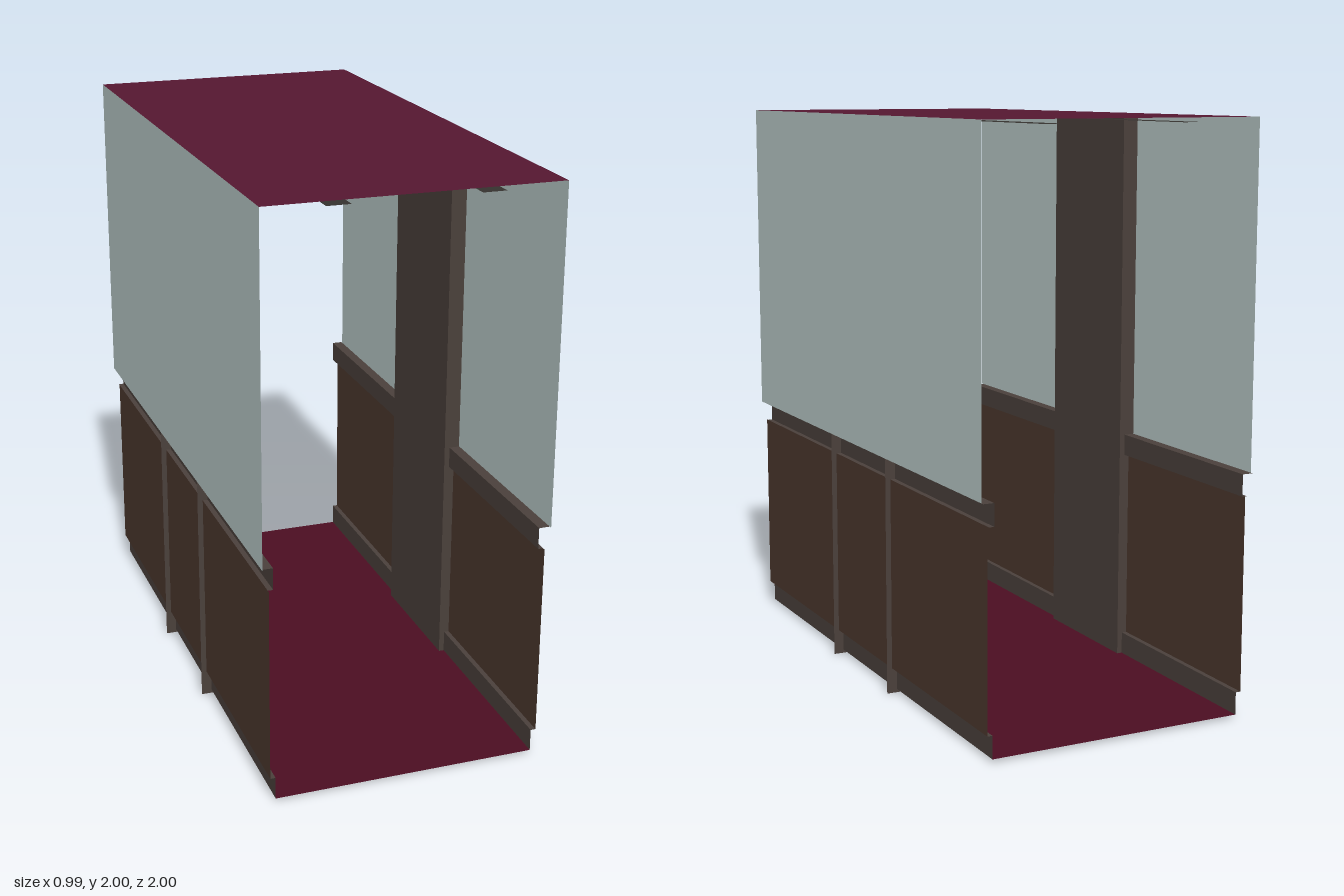
import * as THREE from 'three';

const FRONT = 1, BACK = -0.99;

function material(color) {
  return new THREE.MeshStandardMaterial({ color, side: THREE.DoubleSide, flatShading: true });
}

// Sheet with an (x, y) section of straight folds, swept from z0 to z1
function sheet(name, section, z0, z1, mat) {
  const pos = [];
  for (let i = 0; i + 1 < section.length; i++) {
    const [ax, ay] = section[i], [bx, by] = section[i + 1];
    const a = [ax, ay, z0], b = [bx, by, z0], c = [bx, by, z1], d = [ax, ay, z1];
    pos.push(...a, ...b, ...c, ...a, ...c, ...d);
  }
  const geo = new THREE.BufferGeometry();
  geo.setAttribute('position', new THREE.Float32BufferAttribute(pos, 3));
  geo.computeVertexNormals();
  const mesh = new THREE.Mesh(geo, mat);
  mesh.name = name;
  return mesh;
}

export function createModel() {
  const group = new THREE.Group();
  group.name = 'corridorSection';
  const roofMat = material(0x551731);
  const floorMat = material(0x4c0e22);
  const wallMat = material(0xb8c8c6);
  const woodMat = material(0x4b372d);
  const trimMat = material(0x4a403b);
  const beamMat = material(0x35322f);

  // Ceiling and floor
  group.add(sheet('ceiling', [[0.495, 2], [-0.495, 2]], BACK, FRONT, roofMat));
  group.add(sheet('floor', [[0.457, 0.012], [-0.457, 0.012]], BACK, FRONT, floorMat));

  for (const s of [1, -1]) {
    const side = new THREE.Group();
    side.name = s > 0 ? 'leftWall' : 'rightWall';
    const add = (name, section, z0, z1, mat) =>
      side.add(sheet(name, section.map(([x, y]) => [s * x, y]), z0, z1, mat));

    // Upper wall, folded rail, recessed wood panel and skirting
    add('upperWall', [[0.495, 2], [0.495, 0.84]], BACK, FRONT, wallMat);
    add('rail', [[0.495, 0.84], [0.457, 0.84], [0.457, 0.765], [0.475, 0.765]], -1, 0.99, trimMat);
    add('woodPanel', [[0.475, 0.765], [0.475, 0.09]], BACK, FRONT, woodMat);
    add('skirting', [[0.475, 0.09], [0.457, 0.09], [0.457, 0.012]], BACK, FRONT, trimMat);

    // Pillar: an inner face with two flanges running out through the wall
    add('pillarFace', [[0.438, 0], [0.438, 1.985]], -0.245, 0.25, trimMat);
    for (const z of [-0.245, 0.25]) {
      const flange = new THREE.Mesh(new THREE.PlaneGeometry(0.056, 1.985), trimMat);
      flange.name = 'pillarFlange';
      flange.position.set(s * 0.466, 0.9925, z);
      side.add(flange);
    }

    // Long strip under the ceiling
    add('ceilingStrip', [[0.21, 1.985], [0.29, 1.985]], BACK, FRONT, beamMat);
    group.add(side);
  }
  return group;
}
